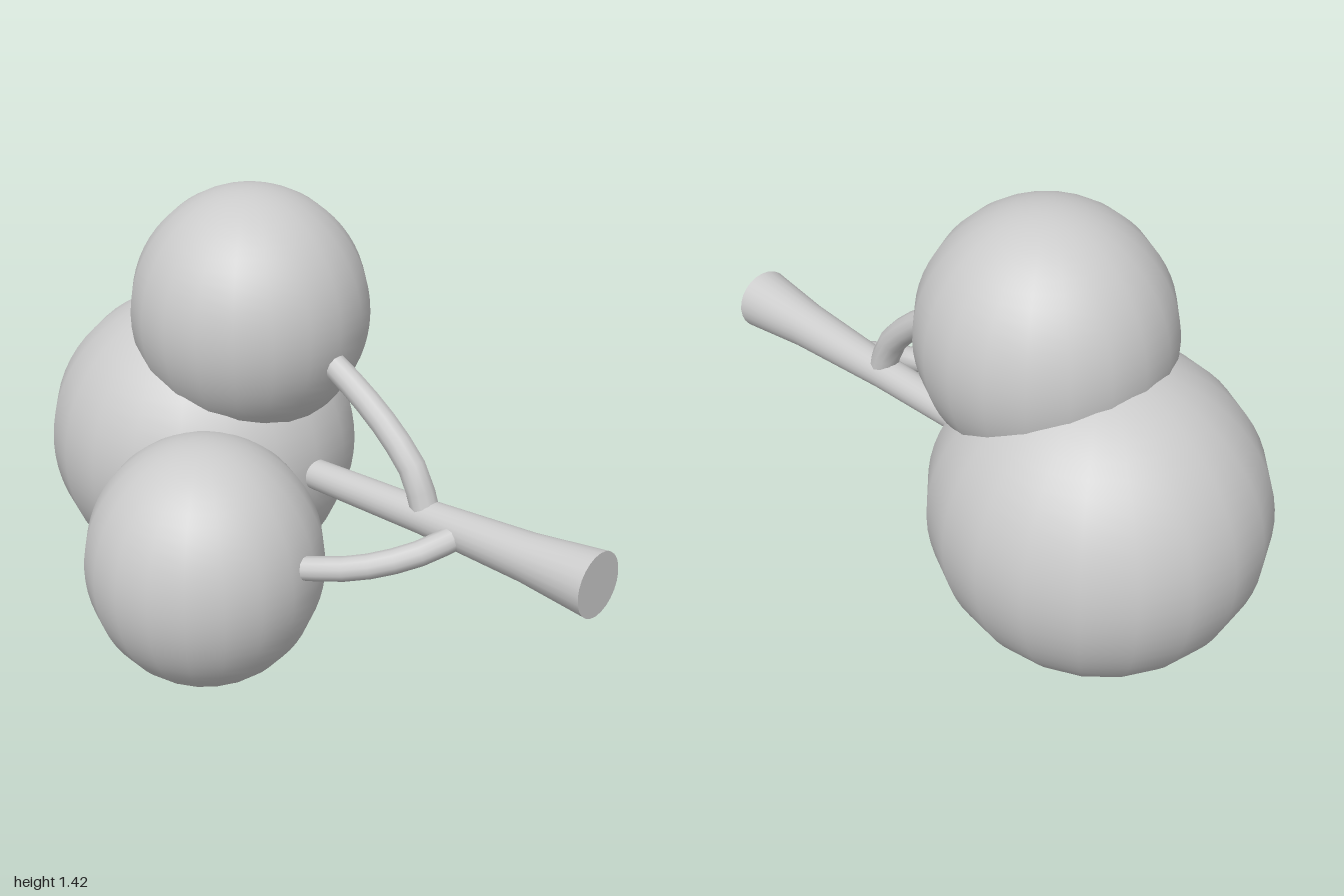
import * as THREE from 'three';

const material = new THREE.MeshStandardMaterial({ color: 0xcccccc });

function addMesh(group, name, geometry) {
  const mesh = new THREE.Mesh(geometry, material);
  mesh.name = name;
  group.add(mesh);
  return mesh;
}

// Ellipsoid clump of leaves
function addFoliage(group, name, center, radii) {
  const mesh = addMesh(group, name, new THREE.SphereGeometry(1, 20, 32));
  mesh.position.set(...center);
  mesh.scale.set(...radii);
}

// Curved branch, tapering from r0 to r1 along its path
function addBranch(group, name, points, r0, r1) {
  const curve = new THREE.CatmullRomCurve3(points.map((p) => new THREE.Vector3(...p)));
  const rings = 8, sides = 12;
  const geometry = new THREE.TubeGeometry(curve, rings, 1, sides);
  const pos = geometry.attributes.position;
  const v = new THREE.Vector3();
  for (let i = 0; i < pos.count; i++) {
    const t = Math.floor(i / (sides + 1)) / rings;
    const c = curve.getPointAt(t);
    v.fromBufferAttribute(pos, i).sub(c).multiplyScalar(r0 + (r1 - r0) * t).add(c);
    pos.setXYZ(i, v.x, v.y, v.z);
  }
  addMesh(group, name, geometry);
}

export function createModel() {
  const tree = new THREE.Group();
  tree.name = 'tree';

  // Foliage
  addFoliage(tree, 'crownFoliage', [0.13, 0.567, -0.503], [0.475, 0.477, 0.492]);
  addFoliage(tree, 'upperFoliage', [0.13, 1.04, -0.29], [0.363, 0.38, 0.365]);
  addFoliage(tree, 'sideFoliage', [-0.25, 0.39, -0.12], [0.36, 0.387, 0.36]);

  // Trunk lying along z, flared at its base, with a flat base cap
  const profile = [[0.044, -0.2], [0.047, 0], [0.053, 0.4], [0.072, 0.77], [0.097, 1]];
  const trunk = addMesh(tree, 'trunk',
    new THREE.LatheGeometry(profile.map(([r, z]) => new THREE.Vector2(r, z)), 24));
  trunk.rotation.x = Math.PI / 2;
  trunk.position.set(0.13, 0.569, 0);
  const base = addMesh(tree, 'trunkBase', new THREE.CircleGeometry(0.097, 24));
  base.position.set(0.13, 0.569, 1);

  // Branches
  addBranch(tree, 'upperBranch', [
    [0.13, 0.57, 0.41], [0.13, 0.69, 0.365], [0.13, 0.785, 0.28],
    [0.13, 0.875, 0.165], [0.13, 0.945, 0.05], [0.13, 0.98, -0.02],
  ], 0.044, 0.038);
  addBranch(tree, 'sideBranch', [
    [0.13, 0.57, 0.55], [0.05, 0.545, 0.515], [-0.02, 0.52, 0.47],
    [-0.115, 0.48, 0.355], [-0.18, 0.455, 0.22], [-0.22, 0.44, 0.12],
  ], 0.038, 0.036);

  return tree;
}
